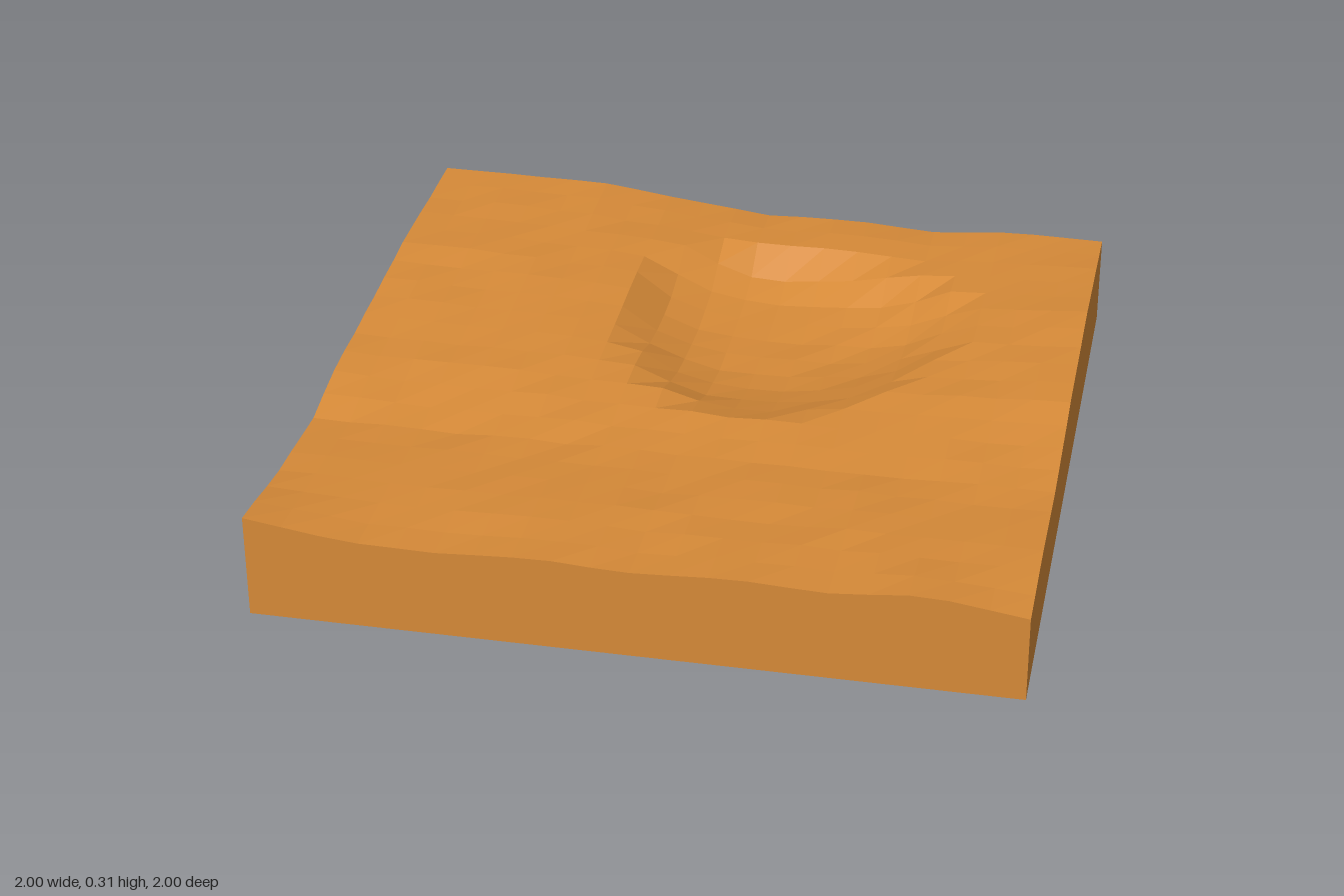
import * as THREE from 'three';

// Broad relief of the ground: one row per z station, nine even columns in x
const ZS = [-1, -0.5, 0, 0.15, 0.4, 0.7, 1];
const RELIEF = [
  [0.31, 0.31, 0.305, 0.275, 0.245, 0.255, 0.237, 0.26, 0.255],
  [0.31, 0.305, 0.295, 0.285, 0.265, 0.265, 0.26, 0.27, 0.288],
  [0.28, 0.275, 0.275, 0.265, 0.26, 0.26, 0.255, 0.265, 0.277],
  [0.28, 0.265, 0.27, 0.26, 0.255, 0.25, 0.25, 0.25, 0.258],
  [0.237, 0.233, 0.235, 0.237, 0.235, 0.235, 0.235, 0.235, 0.235],
  [0.25, 0.245, 0.245, 0.25, 0.245, 0.245, 0.25, 0.25, 0.25],
  [0.29, 0.252, 0.247, 0.26, 0.25, 0.262, 0.253, 0.275, 0.24],
];
const { lerp, clamp } = THREE.MathUtils;

function relief(x, z) {
  let r = 0;
  while (r < ZS.length - 2 && z > ZS[r + 1]) r++;
  const c = clamp(Math.floor((x + 1) * 4), 0, 7);
  const u = (x + 1) * 4 - c;
  const v = (z - ZS[r]) / (ZS[r + 1] - ZS[r]);
  const along = (row) => lerp(row[c], row[c + 1], u);
  return lerp(along(RELIEF[r]), along(RELIEF[r + 1]), v);
}

// Small repeatable unevenness, -1 to 1
function bump(x, z) {
  const s = Math.sin(Math.round(x * 10) * 12.99 + Math.round(z * 10) * 78.23) * 43758.5;
  return (s - Math.floor(s)) * 2 - 1;
}

// Bowl with a steep wall at the back left and a gentler rise opposite
function crater(x, z) {
  const dx = x - 0.17, dz = z + 0.33;
  const angle = Math.atan2(dz, dx);
  const radius = 0.48 + 0.03 * Math.cos(3 * angle + 1);
  const t = Math.hypot(dx, dz) / radius;
  const steepness = 3.5 - 1.2 * Math.cos(angle - Math.PI / 4);
  return t < 1 ? 0.11 * (1 - t ** steepness) : 0;
}

function groundHeight(x, z) {
  const inside = Math.max(Math.abs(x), Math.abs(z)) < 0.99;
  return relief(x, z) + (inside ? 0.004 : 0.0015) * bump(x, z) - crater(x, z);
}

export function createModel() {
  const group = new THREE.Group();
  group.name = 'terrainTile';

  // Solid block whose upper vertices follow the ground
  const geometry = new THREE.BoxGeometry(2, 1, 2, 20, 1, 20);
  const pos = geometry.attributes.position;
  for (let i = 0; i < pos.count; i++) {
    const top = pos.getY(i) > 0;
    pos.setY(i, top ? groundHeight(pos.getX(i), pos.getZ(i)) : 0);
  }
  geometry.computeVertexNormals();

  const ground = new THREE.Mesh(
    geometry,
    new THREE.MeshStandardMaterial({ color: 0xd68a38, flatShading: true })
  );
  ground.name = 'ground';
  group.add(ground);
  return group;
}
